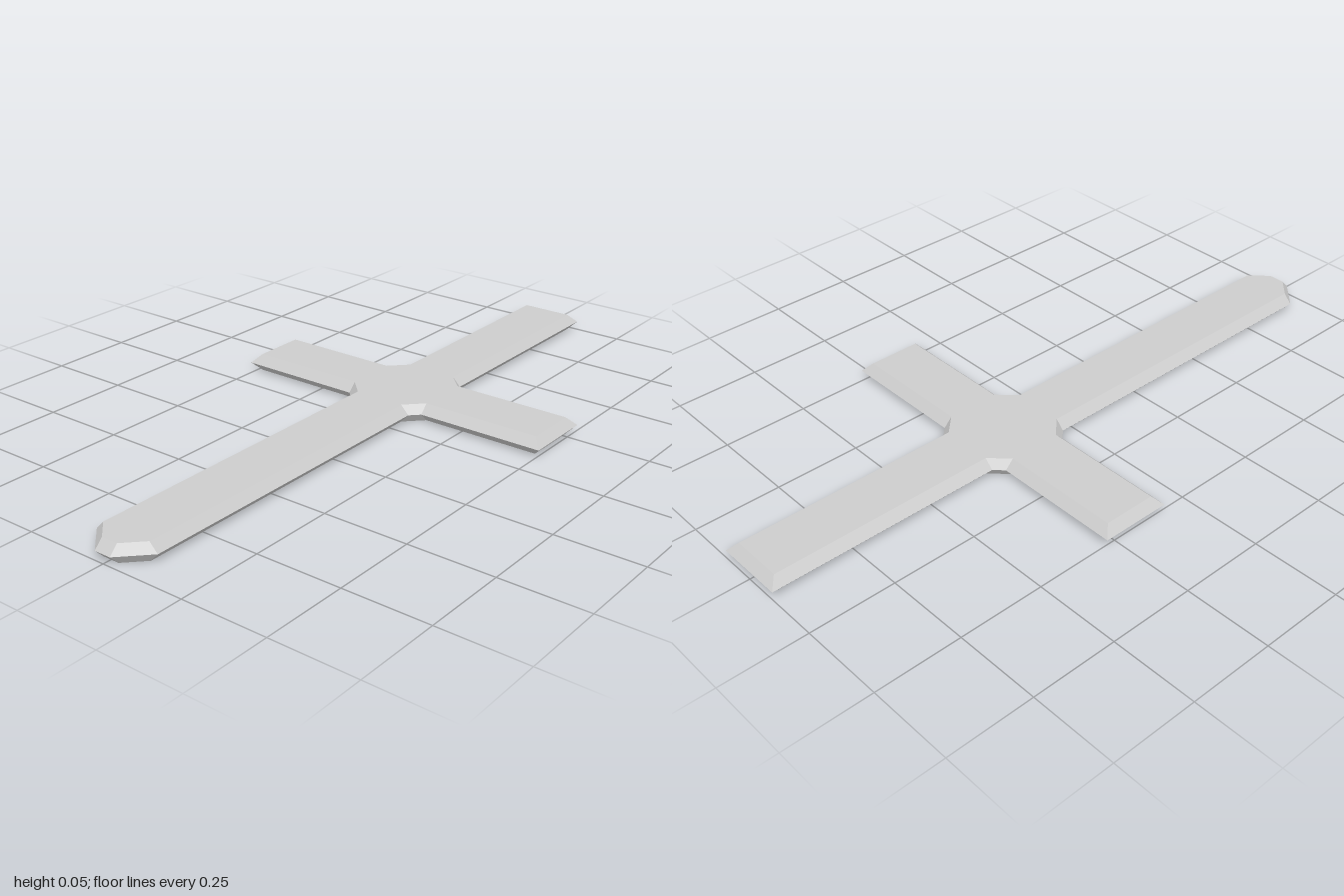
import * as THREE from 'three';

// Right half of the outline, front tip to back end: [x, z, inset x, inset z].
// The first pair is the sharp rim at mid height, the second the flat faces' edge.
const HALF = [
  [0.025, 1.0, 0.025, 0.975],
  [0.102, 0.923, 0.077, 0.923],
  [0.102, -0.054, 0.077, -0.054],
  [0.128, -0.08, 0.128, -0.105],
  [0.51, -0.08, 0.485, -0.105],
  [0.51, -0.285, 0.485, -0.26],
  [0.128, -0.285, 0.128, -0.26],
  [0.102, -0.311, 0.077, -0.311],
  [0.102, -1.0, 0.077, -0.975],
];
const HEIGHT = 0.052;

function createBevelledCross() {
  // Mirror the half outline into a closed loop
  const loop = [...HALF, ...HALF.slice().reverse().map(([a, b, c, d]) => [-a, b, -c, d])];
  const bottom = loop.map(([, , x, z]) => [x, 0, z]);
  const rim = loop.map(([x, z]) => [x, HEIGHT / 2, z]);
  const top = loop.map(([, , x, z]) => [x, HEIGHT, z]);
  const positions = [];
  const tri = (a, b, c) => positions.push(...a, ...b, ...c);

  // Bevels below and above the rim
  for (const [low, high] of [[bottom, rim], [rim, top]]) {
    loop.forEach((_, i) => {
      const j = (i + 1) % loop.length;
      tri(low[i], low[j], high[j]);
      tri(low[i], high[j], high[i]);
    });
  }

  // Flat top and bottom faces
  const contour = top.map(([x, , z]) => new THREE.Vector2(x, -z));
  for (const [a, b, c] of THREE.ShapeUtils.triangulateShape(contour, [])) {
    tri(top[a], top[b], top[c]);
    tri(bottom[a], bottom[c], bottom[b]);
  }

  const geometry = new THREE.BufferGeometry();
  geometry.setAttribute('position', new THREE.Float32BufferAttribute(positions, 3));
  geometry.computeVertexNormals();
  return geometry;
}

export function createModel() {
  const group = new THREE.Group();
  group.name = 'cross';
  const grey = new THREE.MeshStandardMaterial({ color: 0xcccccc });
  grey.name = 'light grey';
  const body = new THREE.Mesh(createBevelledCross(), grey);
  body.name = 'bevelledCrossBody';
  group.add(body);
  return group;
}
